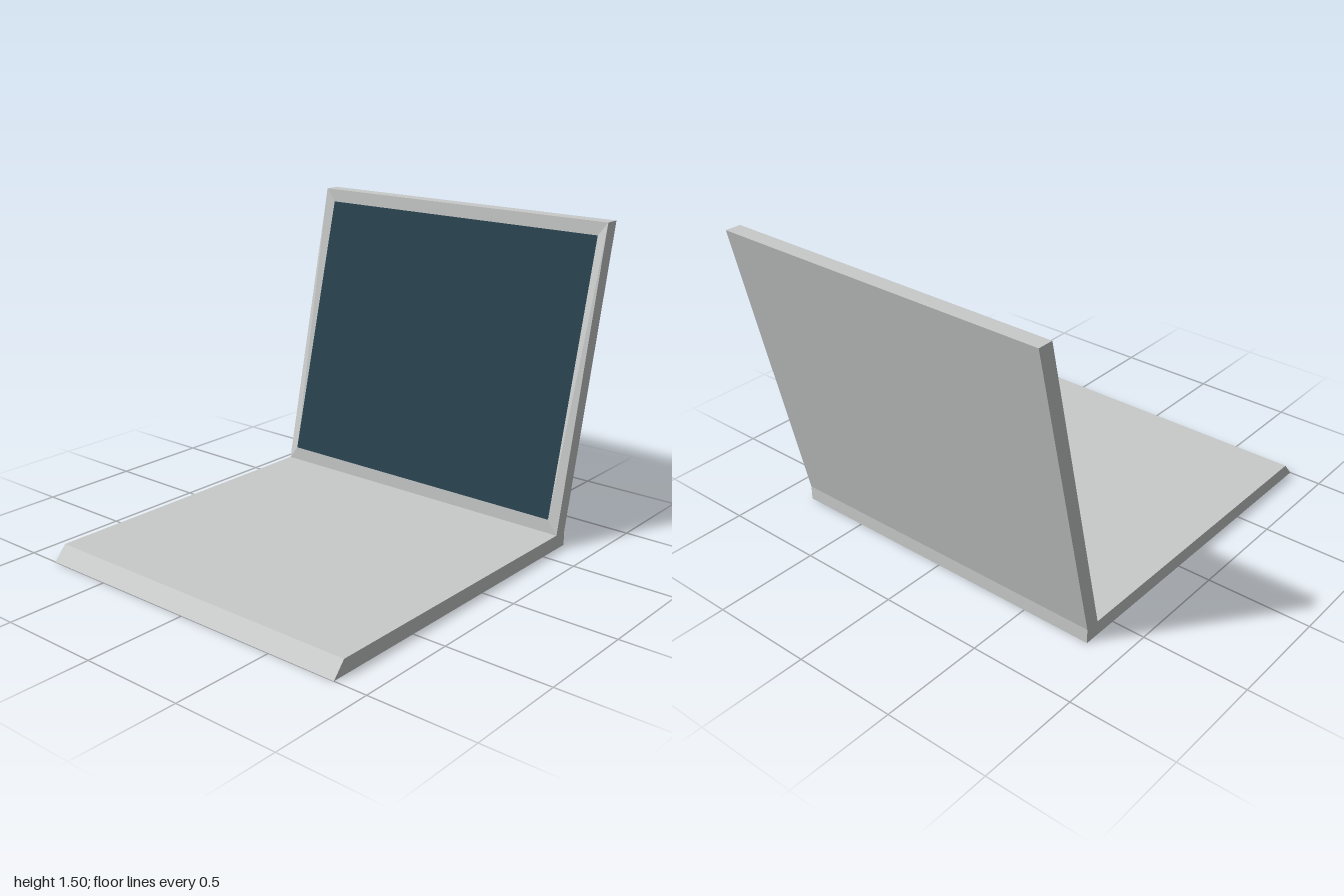
import * as THREE from 'three';

const W = 0.84; // half width of the case

// Flat-faced geometry from a list of corner points, three per triangle
function facets(points) {
  const g = new THREE.BufferGeometry();
  g.setAttribute('position', new THREE.Float32BufferAttribute(points.flat(), 3));
  g.computeVertexNormals();
  return g;
}
const quad = (a, b, c, d) => [a, b, c, a, c, d];

export function createModel() {
  const caseGrey = new THREE.MeshStandardMaterial({ color: 0xc8caca });
  caseGrey.name = 'caseGrey';
  const screenBlue = new THREE.MeshStandardMaterial({ color: 0x27414d });
  screenBlue.name = 'screenBlue';
  const group = new THREE.Group();
  const add = (name, points, material) => {
    const mesh = new THREE.Mesh(facets(points), material);
    mesh.name = name;
    group.add(mesh);
  };

  // Side profile as [z, y]: base with bevelled front lip, and leaning lid
  const profile = [[1, 0], [-0.68, 0], [-0.68, 0.07], [-1, 1.505],
    [-0.925, 1.505], [-0.61, 0.07], [0.94, 0.07]];
  const lidFront = 4; // this edge is filled by the bezel and screen
  const at = (x, [z, y]) => [x, y, z];

  // Case: strips across the width, closed by two side walls
  const shell = [];
  profile.forEach((p, i) => {
    if (i === lidFront) return;
    const q = profile[(i + 1) % profile.length];
    shell.push(...quad(at(W, p), at(-W, p), at(-W, q), at(W, q)));
  });
  const outline = profile.map(([z, y]) => new THREE.Vector2(-z, y));
  for (const [a, b, c] of THREE.ShapeUtils.triangulateShape(outline, [])) {
    shell.push(at(W, profile[a]), at(W, profile[b]), at(W, profile[c]));
    shell.push(at(-W, profile[c]), at(-W, profile[b]), at(-W, profile[a]));
  }
  add('case', shell, caseGrey);

  // Bezel: frame between the lid edge and the inset screen
  const corners = (w, low, high) => [[-w, low, -0.61], [w, low, -0.61], [w, high, -0.925], [-w, high, -0.925]];
  const outer = corners(W, 0.07, 1.505);
  const inner = corners(0.79, 0.137, 1.44);
  const bezel = [];
  for (let i = 0; i < 4; i++) {
    const j = (i + 1) % 4;
    // both side pieces fold from the upper lid corner to the lower screen corner
    bezel.push(...(i < 2
      ? quad(outer[j], inner[j], inner[i], outer[i])
      : quad(outer[i], outer[j], inner[j], inner[i])));
  }
  add('bezel', bezel, caseGrey);

  // Screen
  add('screen', quad(...inner), screenBlue);
  return group;
}
